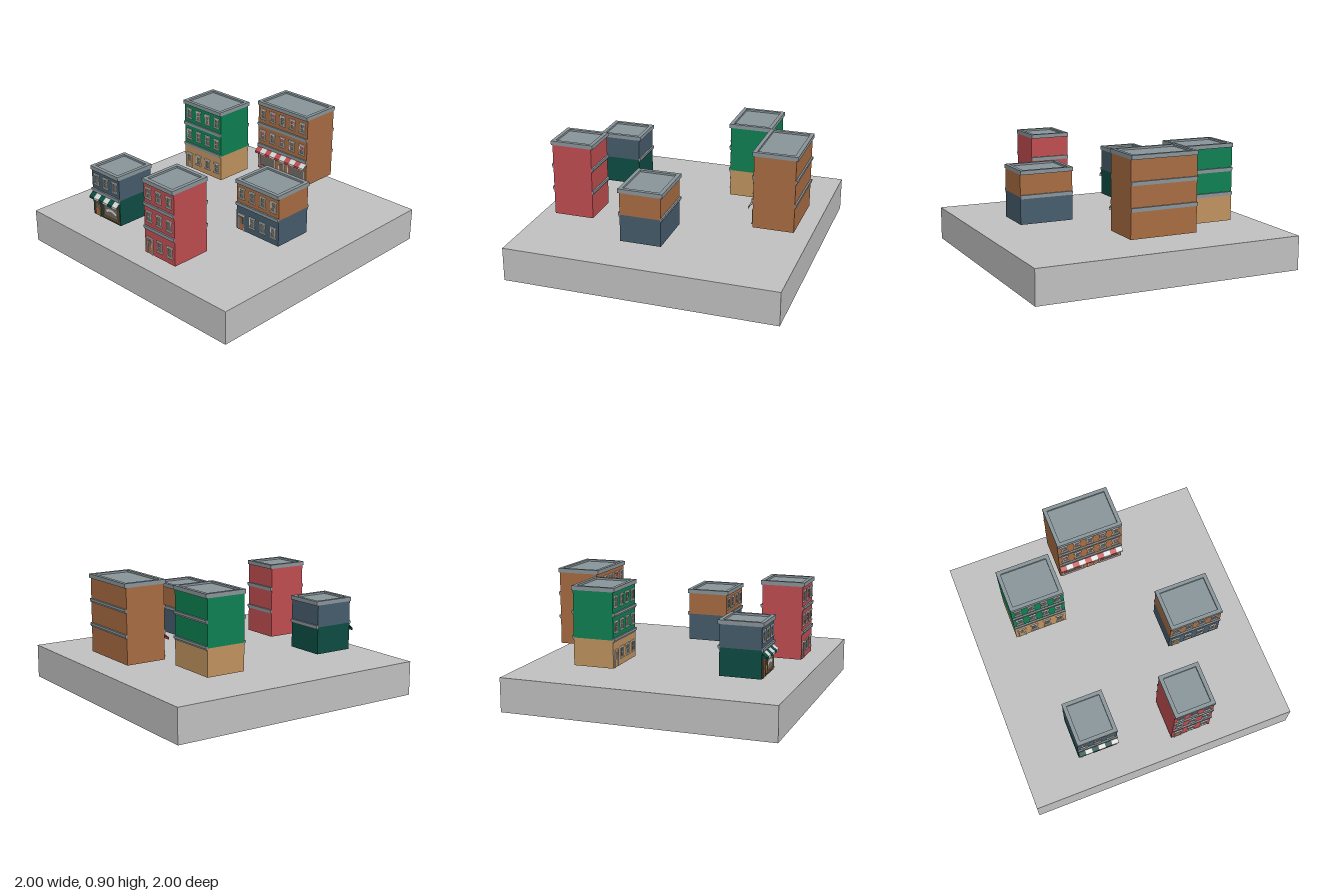
import * as THREE from 'three';

const mat = (name, color) => Object.assign(new THREE.MeshStandardMaterial({ color }), { name });
const M = {
  ground: mat('ground grey', 0xc0c0c0),
  green: mat('green paint', 0x0e8052),
  tan: mat('tan stone', 0xc0935f),
  blue: mat('slate blue paint', 0x465c6c),
  teal: mat('dark teal paint', 0x0d4c43),
  brick: mat('orange brick', 0xa86c42),
  red: mat('red paint', 0xbf4d50),
  trim: mat('trim grey', 0x89959a),
  pale: mat('pale frame', 0xd6d6d4),
  glass: mat('window glass', 0x6c6b62),
};

const D = 0.3;        // depth of every house
const GROUND_H = 0.2; // ground storey height
const UPPER_H = 0.177; // upper storey height

function box(parent, name, material, w, h, d, x, y, z) {
  const mesh = new THREE.Mesh(new THREE.BoxGeometry(w, h, d), material);
  mesh.name = name;
  mesh.position.set(x, y, z);
  parent.add(mesh);
  return mesh;
}

function group(parent, name, x, y, z) {
  const g = new THREE.Group();
  g.name = name;
  g.position.set(x, y, z);
  parent.add(g);
  return g;
}

// Four bars around an opening
function surround(g, material, w, h, bar, d) {
  for (const s of [-1, 1]) {
    box(g, 'jamb', material, bar, h, d, s * (w - bar) / 2, 0, d / 2);
    box(g, 'rail', material, w - 2 * bar, bar, d, 0, s * (h - bar) / 2, d / 2);
  }
}

// Sash window with a lintel and a sill; y is the storey floor
function sashWindow(parent, x, y, z, blind) {
  const g = group(parent, 'window', x, y + 0.09, z);
  box(g, 'pane', M.glass, 0.034, 0.068, 0.002, 0, 0, 0.001);
  surround(g, M.pale, 0.044, 0.076, 0.006, 0.006);
  box(g, 'sashRail', M.pale, 0.032, 0.004, 0.004, 0, 0, 0.002);
  box(g, 'lintel', M.pale, 0.058, 0.011, 0.009, 0, 0.037, 0.0045);
  box(g, 'sill', M.pale, 0.058, 0.008, 0.01, 0, -0.04, 0.005);
  if (blind) box(g, 'blind', M.red, 0.032, 0.032, 0.003, 0, 0.017, 0.0015);
}

// Door with a surround, an upper pane and a knob
function door(parent, x, y, z, leaf, frame) {
  const g = group(parent, 'door', x, y + 0.062, z);
  box(g, 'leaf', leaf, 0.044, 0.12, 0.003, 0, 0, 0.0015);
  box(g, 'doorPane', M.glass, 0.026, 0.05, 0.002, 0, 0.018, 0.0035);
  box(g, 'knob', M.pale, 0.004, 0.004, 0.004, 0.016, -0.016, 0.004);
  for (const s of [-1, 1]) box(g, 'doorJamb', frame, 0.007, 0.122, 0.007, s * 0.0255, 0, 0.0035);
  box(g, 'doorHead', frame, 0.066, 0.01, 0.009, 0, 0.061, 0.0045);
}

// Wide display window
function shopWindow(parent, x, y, z, frame, inner, arch) {
  const g = group(parent, 'shopWindow', x, y + 0.075, z);
  box(g, 'display', M.glass, 0.16, 0.098, 0.002, 0, 0, 0.001);
  surround(g, frame, 0.172, 0.106, 0.008, 0.008);
  box(g, 'shopSill', frame, 0.178, 0.009, 0.011, 0, -0.053, 0.0055);
  if (inner) {
    const liner = group(g, 'liner', 0, 0, 0);
    surround(liner, inner, 0.158, 0.092, 0.008, 0.004);
  }
  if (arch) {
    const mesh = new THREE.Mesh(new THREE.RingGeometry(0.078, 0.097, 16, 1, Math.PI * 0.29, Math.PI * 0.42), M.pale);
    mesh.name = 'windowArch';
    mesh.position.set(0, -0.075, 0.003);
    g.add(mesh);
  }
}

// Striped sloping awning with a short valance, swept along x stripe by stripe
function awning(parent, width, y, z, colour) {
  const g = group(parent, 'awning', 0, y, z);
  const n = Math.round(width / 0.05);
  const side = new THREE.Shape([[0, 0], [0.036, -0.03], [0.036, -0.046], [0.032, -0.046], [0.032, -0.032], [0, -0.006]]
    .map(([a, b]) => new THREE.Vector2(a, b)));
  const geo = new THREE.ExtrudeGeometry(side, { depth: 0.05, bevelEnabled: false });
  geo.rotateY(-Math.PI / 2); // profile x -> z, depth -> -x
  for (let i = 0; i < n; i++) {
    const mesh = new THREE.Mesh(geo, i % 2 ? M.pale : colour);
    mesh.name = 'awningStripe';
    mesh.position.x = -width / 2 + (i + 1) * 0.05;
    g.add(mesh);
  }
}

// Cornice ring around a slightly sunken roof
function roof(parent, width, y) {
  const w = width / 2, d = D / 2 + 0.0125, rim = 0.028;
  const rect = (Type, a, b) => new Type([[-a, -b], [a, -b], [a, b], [-a, b]].map(([p, q]) => new THREE.Vector2(p, q)));
  const shape = rect(THREE.Shape, w, d);
  shape.holes.push(rect(THREE.Path, w - rim, d - rim));
  const geo = new THREE.ExtrudeGeometry(shape, { depth: 0.03, bevelEnabled: false });
  geo.rotateX(-Math.PI / 2);
  const cornice = new THREE.Mesh(geo, M.trim);
  cornice.name = 'cornice';
  cornice.position.y = y - 0.016;
  parent.add(cornice);
  box(parent, 'roofDeck', M.trim, width - 2 * rim, 0.012, 2 * (d - rim), 0, y - 0.006, 0);
}

function house(parent, o) {
  const g = group(parent, o.name, o.x, o.y, o.z);
  const width = o.bays * 0.1, front = D / 2;
  const bayX = (i) => (i + 0.5) * 0.1 - width / 2;
  const top = GROUND_H + UPPER_H * o.uppers;

  // Walls
  box(g, 'groundStorey', o.lower, width, GROUND_H, D, 0, GROUND_H / 2, 0);
  const upperH = top - 0.016 - GROUND_H;
  box(g, 'upperStoreys', o.upper, width, upperH, D, 0, GROUND_H + upperH / 2, 0);
  roof(g, width, top);

  // Bands and windows of each upper storey
  for (let f = 0; f < o.uppers; f++) {
    const y = GROUND_H + f * UPPER_H;
    for (const s of [-1, 1]) {
      box(g, 'band', M.trim, width, 0.018, 0.012, 0, y + 0.005, s * (front + 0.006));
      box(g, 'bandFoot', M.trim, width, 0.01, 0.007, 0, y - 0.009, s * (front + 0.0035));
    }
    for (let i = 0; i < o.bays; i++) sashWindow(g, bayX(i), y, front, o.blinds && (i + f) % 2 === 0);
  }

  // Ground floor front
  if (o.shop) {
    const s = o.shop;
    door(g, bayX(s.door), 0, front, M.brick, s.doorFrame);
    for (const i of s.windows) shopWindow(g, (bayX(i) + bayX(i + 1)) / 2, 0, front, s.frame, s.inner, s.arch);
    awning(g, width, GROUND_H - 0.016, front, s.colour);
  } else {
    door(g, bayX(0), 0, front, o.door, M.pale);
    for (let i = 1; i < o.bays; i++) sashWindow(g, bayX(i), 0, front, false);
  }
}

export function createModel() {
  const model = new THREE.Group();
  model.name = 'townBlock';
  box(model, 'groundSlab', M.ground, 2, 0.25, 2, 0, 0.125, 0);

  const houses = [
    { name: 'greenHouse', x: -0.5, y: 0.305, z: -0.42, bays: 4, uppers: 2, lower: M.tan, upper: M.green, door: M.tan },
    { name: 'tealShop', x: -0.44, y: 0.294, z: 0.617, bays: 3, uppers: 1, lower: M.teal, upper: M.blue,
      shop: { door: 0, doorFrame: M.brick, windows: [1], frame: M.brick, arch: true, colour: M.teal } },
    { name: 'brickShop', x: 0.03, y: 0.335, z: -0.756, bays: 5, uppers: 2, lower: M.brick, upper: M.brick, blinds: true,
      shop: { door: 2, doorFrame: M.pale, windows: [0, 3], frame: M.pale, inner: M.red, colour: M.red } },
    { name: 'redHouse', x: 0.245, y: 0.28, z: 0.72, bays: 3, uppers: 2, lower: M.red, upper: M.red, door: M.brick },
    { name: 'brickAndBlueHouse', x: 0.54, y: 0.31, z: 0.067, bays: 4, uppers: 1, lower: M.blue, upper: M.brick, door: M.brick },
  ];
  for (const h of houses) house(model, h);
  return model;
}
